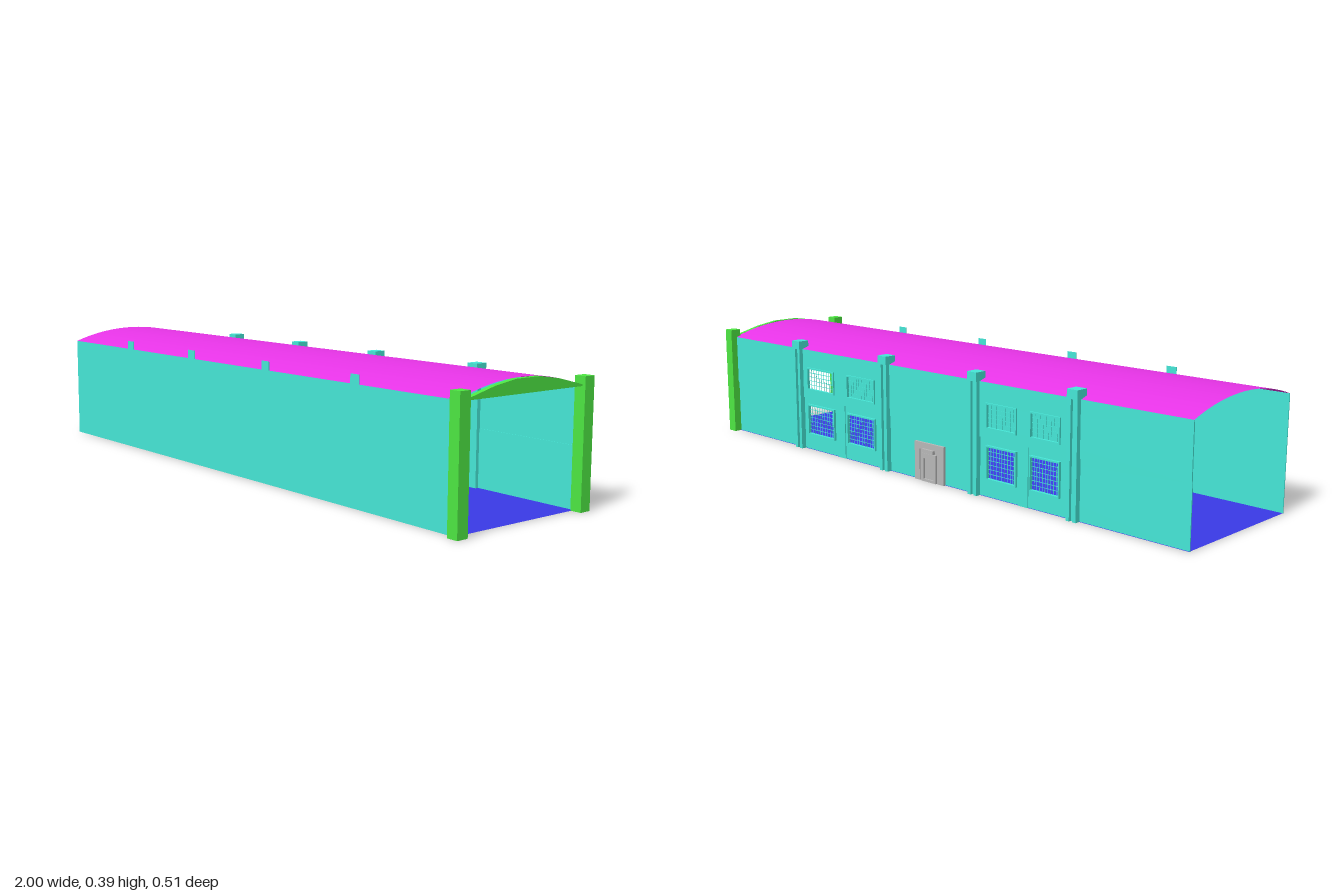
import * as THREE from 'three';

export function createModel() {
  const model = new THREE.Group();
  model.name = 'hall';
  const mat = (name, color, side = THREE.FrontSide) => {
    const m = new THREE.MeshStandardMaterial({ color, side });
    m.name = name;
    return m;
  };
  const teal = mat('teal wall', 0x46e8d8);
  const green = mat('green portal', 0x4ee843);
  const magenta = mat('magenta roof', 0xe834e8, THREE.DoubleSide);
  const blue = mat('blue floor', 0x3a3ae6, THREE.DoubleSide);
  const grey = mat('grey door', 0xb8b8b8);

  const add = (name, geo, material, parent = model) => {
    const m = new THREE.Mesh(geo, material);
    m.name = name;
    parent.add(m);
    return m;
  };
  const box = (name, material, x0, x1, y0, y1, z0, z1, parent) => {
    const g = new THREE.BoxGeometry(x1 - x0, y1 - y0, z1 - z0);
    g.translate((x0 + x1) / 2, (y0 + y1) / 2, (z0 + z1) / 2);
    return add(name, g, material, parent);
  };
  const rect = (P, x0, x1, y0, y1) => new P([
    new THREE.Vector2(x0, y0), new THREE.Vector2(x1, y0),
    new THREE.Vector2(x1, y1), new THREE.Vector2(x0, y1)]);
  // Flat plate with rectangular openings
  const plate = (name, material, outer, holes, z0, depth, parent) => {
    const s = rect(THREE.Shape, ...outer);
    holes.forEach(h => s.holes.push(rect(THREE.Path, ...h)));
    const g = new THREE.ExtrudeGeometry(s, { depth, bevelEnabled: false });
    g.translate(0, 0, z0);
    return add(name, g, material, parent);
  };

  const END = 0.97, EAVE = 0.346, RIDGE = 0.386, HALF = 0.234;

  // Floor
  const floor = new THREE.PlaneGeometry(END + 1, HALF * 2);
  floor.rotateX(-Math.PI / 2);
  floor.translate((END - 1) / 2, 0.001, 0);
  add('floor', floor, blue);

  // Barrel roof
  const rise = RIDGE - EAVE;
  const R = (HALF * HALF + rise * rise) / (2 * rise);
  const a = Math.asin(HALF / R);
  const roof = new THREE.CylinderGeometry(R, R, END + 1, 16, 1, true, Math.PI / 2 - a, 2 * a);
  roof.rotateZ(Math.PI / 2);
  roof.translate((END - 1) / 2, RIDGE - R, 0);
  add('roof', roof, magenta);

  // Plain front wall with tabs along the eave
  box('frontWall', teal, -1, END, 0, EAVE, HALF - 0.003, HALF);
  [-0.605, -0.22, 0.18, 0.585].forEach(x =>
    box('frontTab', teal, x - 0.018, x + 0.018, EAVE - 0.002, 0.373, HALF - 0.002, HALF));

  // Back wall in two courses, pierced by windows
  const windowSpans = [[0.418, 0.55], [0.213, 0.343], [-0.401, -0.291], [-0.564, -0.461]];
  const lower = windowSpans.map(([l, r]) => [l, r, 0.058, 0.154]);
  const upper = windowSpans.map(([l, r]) => [l, r, 0.213, 0.281]);
  plate('lowerBackWall', teal, [-1, END, 0, 0.18], lower, -0.231, 0.003);
  plate('upperBackWall', teal, [-1, END, 0.18, EAVE], upper, -0.234, 0.004);

  // Raised strips between each pair of lower windows
  [0.38, -0.431].forEach(x =>
    box('wallStrip', teal, x - 0.018, x + 0.018, 0, 0.18, -0.234, -0.23));

  // Window frames and glazing bars
  [...lower, ...upper].forEach(([l, r, b, t]) => {
    const win = new THREE.Group();
    win.name = 'window';
    model.add(win);
    const f = 0.005;
    plate('windowFrame', teal, [l - f, r + f, b - f, t + f], [[l, r, b, t]], -0.239, 0.008, win);
    const cols = 10, rows = Math.round((t - b) / 0.014);
    for (let i = 1; i < cols; i++) {
      const x = l + (r - l) * i / cols;
      box('verticalBar', teal, x - 0.0008, x + 0.0008, b, t, -0.232, -0.231, win);
    }
    for (let i = 1; i < rows; i++) {
      const y = b + (t - b) * i / rows;
      box('horizontalBar', teal, l, r, y - 0.0008, y + 0.0008, -0.232, -0.231, win);
    }
  });

  // Grooved pilasters with square caps
  [-0.62, -0.24, 0.156, 0.597].forEach(x => {
    const p = new THREE.Group();
    p.name = 'pilaster';
    p.position.x = x;
    model.add(p);
    box('pilasterCore', teal, -0.018, 0.018, 0, 0.348, -0.239, -0.217, p);
    [-1, 1].forEach(s =>
      box('pilasterRib', teal, s * 0.012 - 0.006, s * 0.012 + 0.006, 0, 0.348, -0.248, -0.238, p));
    box('pilasterCap', teal, -0.019, 0.019, 0.346, 0.373, -0.25, -0.21, p);
  });

  // Door with stepped surround
  const door = new THREE.Group();
  door.name = 'door';
  door.position.x = -0.047;
  model.add(door);
  plate('doorSurround', grey, [-0.064, 0.064, 0, 0.122], [[-0.042, 0.042, 0, 0.1]], -0.24, 0.008, door);
  box('doorLeaf', grey, -0.042, 0.042, 0, 0.1, -0.237, -0.232, door);
  plate('innerDoorFrame', grey, [-0.032, 0.032, 0, 0.09], [[-0.022, 0.022, 0.008, 0.074]], -0.243, 0.008, door);
  box('doorLintel', grey, -0.025, 0.025, 0.092, 0.104, -0.248, -0.236, door);

  // Green end portal: two columns and a shallow arch
  [-1, 1].forEach(s => {
    const z = s * 0.238;
    box('portalColumn', green, 0.965, 1, 0, 0.373, z - 0.0188, z + 0.0188);
  });
  const arch = new THREE.Shape([[-0.222, EAVE], [0.222, EAVE], [0.222, 0.35], [0.125, 0.374], [0.047, RIDGE],
    [-0.047, RIDGE], [-0.125, 0.374], [-0.222, 0.35]].map(p => new THREE.Vector2(...p)));
  const archGeo = new THREE.ExtrudeGeometry(arch, { depth: 0.015, bevelEnabled: false });
  archGeo.rotateY(Math.PI / 2);
  archGeo.translate(0.976, 0, 0);
  add('portalArch', archGeo, green);

  return model;
}
